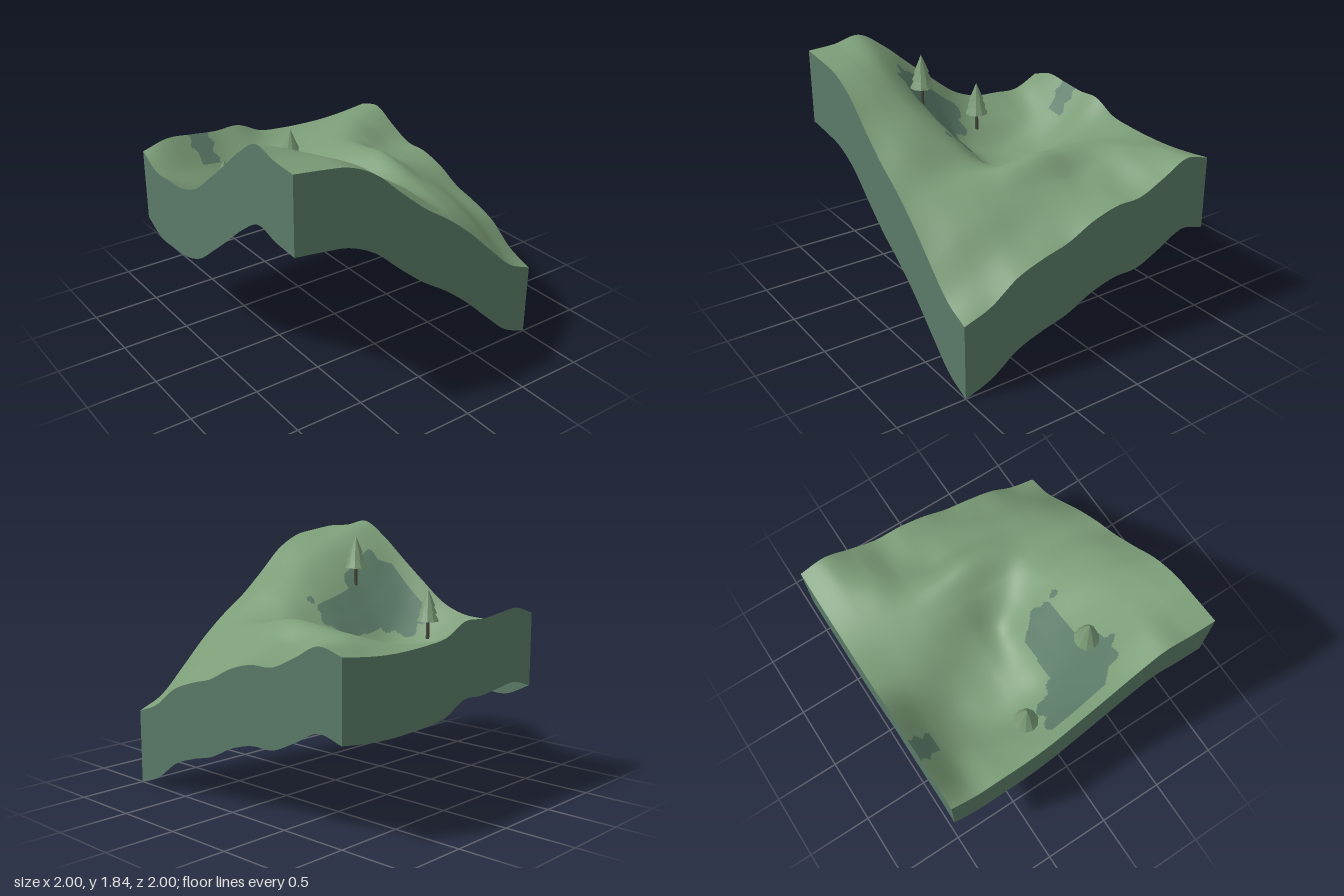
import * as THREE from 'three';

// Control heights every 0.2 units: rows run back to front, columns run x = -1 to 1
const HEIGHTS = [
  [1.18, 1.22, 1.125, 1.04, 1.03, 0.975, 0.88, 0.825, 0.75, 0.61, 0.535],
  [1.155, 1.215, 1.17, 1.07, 1.055, 1.03, 0.98, 0.92, 0.86, 0.75, 0.625],
  [1.14, 1.19, 1.205, 1.14, 1.10, 1.11, 1.09, 1.06, 1.02, 0.94, 0.805],
  [1.14, 1.16, 1.18, 1.19, 1.215, 1.24, 1.21, 1.16, 1.13, 1.08, 0.995],
  [1.15, 1.13, 1.13, 1.14, 1.14, 1.12, 1.13, 1.18, 1.195, 1.19, 1.155],
  [1.175, 1.11, 1.07, 1.03, 0.99, 0.95, 1.09, 1.25, 1.33, 1.35, 1.29],
  [1.262, 1.08, 0.97, 0.92, 0.91, 0.94, 1.14, 1.33, 1.45, 1.48, 1.455],
  [1.26, 1.03, 0.90, 0.875, 0.885, 0.965, 1.17, 1.39, 1.55, 1.62, 1.63],
  [1.28, 1.05, 0.93, 0.89, 0.92, 1.01, 1.23, 1.48, 1.66, 1.72, 1.73],
  [1.295, 1.09, 1.04, 1.03, 1.05, 1.17, 1.38, 1.62, 1.765, 1.77, 1.765],
  [1.24, 1.15, 1.155, 1.17, 1.245, 1.395, 1.555, 1.72, 1.84, 1.805, 1.79],
];
const DEPTH = 0.535; // height of the cut walls
const CELLS = 200;

// Outlines of the dark patches, in x and z
const PATCHES = [
  [[0.08, 0.25], [0.19, 0.14], [0.21, 0.11], [0.24, 0.11], [0.28, 0.14], [0.31, 0.13], [0.33, 0.15], [0.33, 0.5],
    [0.38, 0.5], [0.41, 0.54], [0.42, 0.65], [0.47, 0.67], [0.46, 0.7], [0.41, 0.73], [0.41, 0.8], [0.39, 0.83],
    [0.33, 0.83], [0.24, 0.91], [-0.15, 0.91], [-0.17, 0.88], [-0.16, 0.83], [-0.11, 0.8], [-0.12, 0.77],
    [-0.15, 0.74], [-0.13, 0.7], [-0.09, 0.67], [0, 0.66], [0.02, 0.59], [0.07, 0.58]],
  [[0.35, 0.13], [0.37, 0.12], [0.4, 0.11], [0.415, 0.13], [0.4, 0.16], [0.36, 0.16]],
  [[-1.01, 0.46], [-0.97, 0.47], [-0.94, 0.44], [-0.9, 0.48], [-0.87, 0.44], [-0.84, 0.45], [-0.84, 0.6],
    [-0.9, 0.6], [-0.94, 0.64], [-0.97, 0.62], [-1.01, 0.63]],
];

function cubic(values, t) {
  const last = values.length - 1;
  const i = Math.min(Math.floor(t), last - 1);
  const f = t - i;
  const b = values[i], c = values[i + 1];
  const a = i > 0 ? values[i - 1] : 2 * b - c;
  const d = i + 2 <= last ? values[i + 2] : 2 * c - b;
  return b + 0.5 * f * (c - a + f * (2 * a - 5 * b + 4 * c - d + f * (3 * (b - c) + d - a)));
}

function heightAt(x, z) {
  return cubic(HEIGHTS.map((row) => cubic(row, (x + 1) * 5)), (z + 1) * 5);
}

function inside(outline, x, z) {
  let hit = false;
  outline.forEach(([x1, z1], i) => {
    const [x2, z2] = outline[(i + 1) % outline.length];
    if ((z1 > z) !== (z2 > z) && x < x1 + ((z - z1) / (z2 - z1)) * (x2 - x1)) hit = !hit;
  });
  return hit;
}

function makeGeometry(positions, index) {
  const geometry = new THREE.BufferGeometry();
  geometry.setAttribute('position', new THREE.Float32BufferAttribute(positions, 3));
  geometry.setIndex(index);
  geometry.computeVertexNormals();
  return geometry;
}

// Smooth ground with the patches as a second material group
function groundGeometry() {
  const positions = [], grass = [], patch = [];
  const n = CELLS + 1;
  for (let j = 0; j < n; j++) {
    for (let i = 0; i < n; i++) {
      const x = (2 * i) / CELLS - 1, z = (2 * j) / CELLS - 1;
      positions.push(x, heightAt(x, z), z);
      if (i === CELLS || j === CELLS) continue;
      const a = j * n + i, b = a + n;
      const mid = 1 / CELLS;
      const list = PATCHES.some((p) => inside(p, x + mid, z + mid)) ? patch : grass;
      list.push(a, b, a + 1, b, b + 1, a + 1);
    }
  }
  const geometry = makeGeometry(positions, [...grass, ...patch]);
  geometry.addGroup(0, grass.length, 0);
  geometry.addGroup(grass.length, patch.length, 1);
  return geometry;
}

// One cut wall hanging below the ground edge between two corners
function wallGeometry([x1, z1], [x2, z2]) {
  const positions = [], index = [];
  for (let i = 0; i <= CELLS; i++) {
    const x = x1 + ((x2 - x1) * i) / CELLS, z = z1 + ((z2 - z1) * i) / CELLS;
    const y = heightAt(x, z);
    positions.push(x, y, z, x, y - DEPTH, z);
    const a = 2 * i;
    if (i < CELLS) index.push(a, a + 1, a + 3, a, a + 3, a + 2);
  }
  return makeGeometry(positions, index);
}

function addMesh(parent, name, geometry, material) {
  const mesh = new THREE.Mesh(geometry, material);
  mesh.name = name;
  parent.add(mesh);
  return mesh;
}

function makeTree(x, y, z, bark, leaves) {
  const tree = new THREE.Group();
  tree.name = 'tree';
  tree.position.set(x, y, z);
  addMesh(tree, 'trunk', new THREE.CylinderGeometry(0.012, 0.014, 0.18, 8), bark).position.y = 0.08;
  // Three stacked tiers, narrowing upward
  [[0.125, 0.086, 0.16], [0.185, 0.07, 0.15], [0.24, 0.055, 0.13]].forEach(([base, radius, height]) => {
    addMesh(tree, 'foliageTier', new THREE.ConeGeometry(radius, height, 10), leaves).position.y = base + height / 2;
  });
  return tree;
}

export function createModel() {
  const material = (name, color, options) => {
    const m = new THREE.MeshStandardMaterial({ color, ...options });
    m.name = name;
    return m;
  };
  const open = { side: THREE.DoubleSide };
  const grass = material('grass green', 0x7c9d78, open);
  const earth = material('dark teal green', 0x5b7b68, open);
  const leaves = material('foliage green', 0x7a9a76, { flatShading: true });
  const bark = material('dark bark', 0x474c3c);

  const model = new THREE.Group();
  model.name = 'hillyLand';
  addMesh(model, 'ground', groundGeometry(), [grass, earth]);

  // Walls run around the land with their outsides facing out
  const corners = [[-1, 1], [1, 1], [1, -1], [-1, -1]];
  ['frontWall', 'rightWall', 'backWall', 'leftWall'].forEach((name, i) => {
    addMesh(model, name, wallGeometry(corners[i], corners[(i + 1) % 4]), earth);
  });

  model.add(makeTree(-0.25, 1.005, 0.75, bark, leaves));
  model.add(makeTree(0.33, 1.38, 0.58, bark, leaves));
  return model;
}
